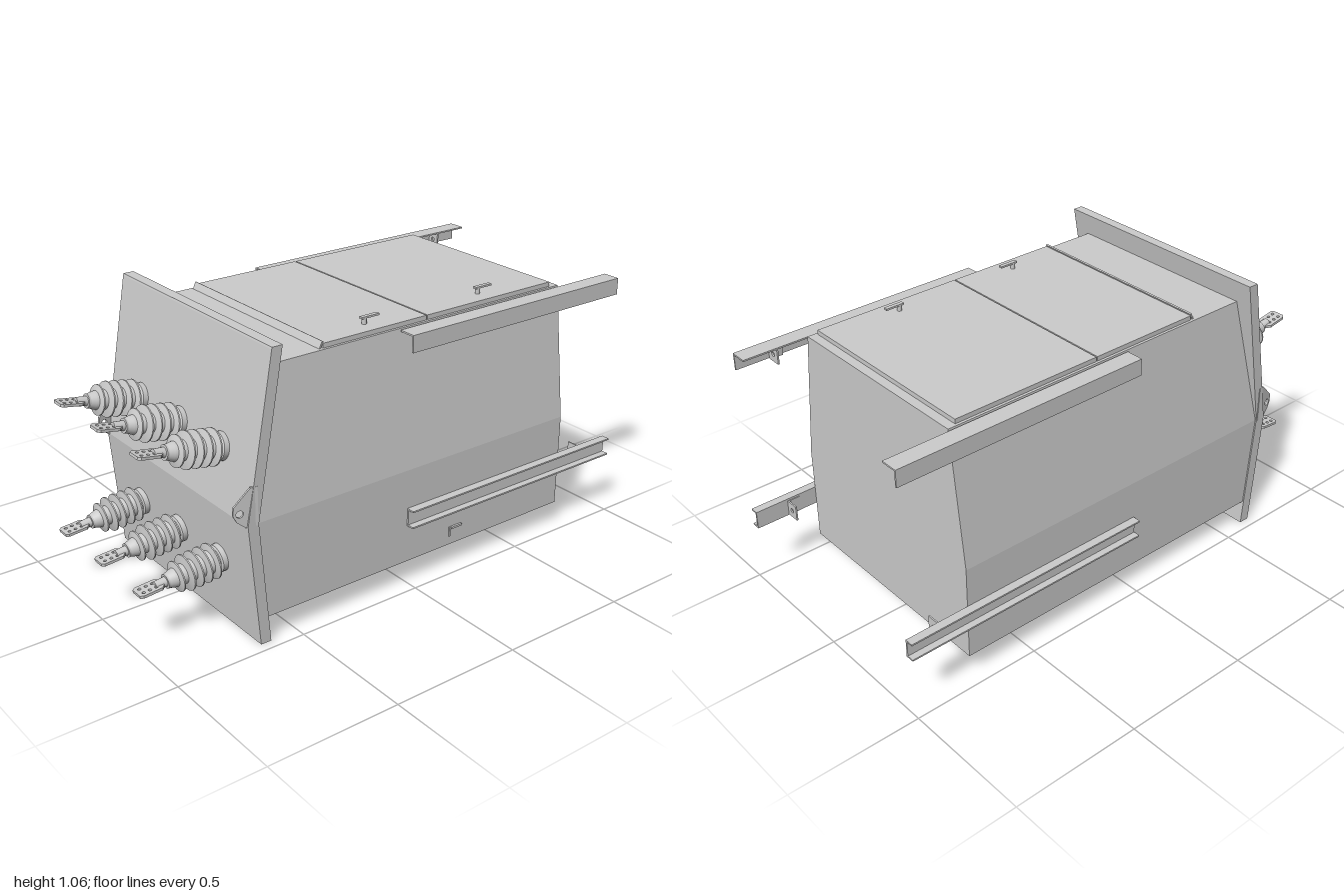
import * as THREE from 'three';

const material = new THREE.MeshStandardMaterial({ color: 0xcccccc, flatShading: true });
const smooth = new THREE.MeshStandardMaterial({ color: 0xcccccc, side: THREE.DoubleSide });

function add(parent, name, geometry, mat = material) {
  const mesh = new THREE.Mesh(geometry, mat);
  mesh.name = name;
  parent.add(mesh);
  return mesh;
}

// Box given by its limits on each axis
function box(parent, name, [x0, x1], [y0, y1], [z0, z1]) {
  const mesh = add(parent, name, new THREE.BoxGeometry(Math.abs(x1 - x0), y1 - y0, z1 - z0));
  mesh.position.set((x0 + x1) / 2, (y0 + y1) / 2, (z0 + z1) / 2);
  return mesh;
}

function shapeOf(points, holes = []) {
  const shape = new THREE.Shape(points.map(([x, y]) => new THREE.Vector2(x, y)));
  for (const [x, y, r] of holes) shape.holes.push(new THREE.Path().absarc(x, y, r, 0, Math.PI * 2, true));
  return shape;
}

const extrude = (shape, depth) =>
  new THREE.ExtrudeGeometry(shape, { depth, bevelEnabled: false, curveSegments: 8 });

// Side profile in (z, y), extruded across x and centred on x = 0
function extrudeX(points, width, holes) {
  return extrude(shapeOf(points, holes), width).rotateY(-Math.PI / 2).translate(width / 2, 0, 0);
}

const CREASE = 0.46;
const plateZ = y => (y > CREASE ? 0.69 - (y - CREASE) * 0.176 : 0.65 + y * 0.087);

// Insulated terminal pointing along local y
function createBushing() {
  const bushing = new THREE.Group();
  bushing.name = 'bushing';
  const core = [[0, 0], [0.05, 0], [0.05, 0.022], [0.042, 0.026]];
  for (let i = 0; i < 5; i++) {
    const y = 0.036 + i * 0.034, r = 0.042 - i * 0.002, rim = i < 4 ? 0.065 : 0.055;
    core.push([r, y], [rim, y + 0.003], [rim, y + 0.008], [r, y + 0.014]);
  }
  core.push([0.032, 0.195], [0.026, 0.215], [0.026, 0.222], [0, 0.222]);
  // Separate conical bands keep the shed rims sharp
  core.slice(1).forEach((b, i) => {
    const a = core[i];
    add(bushing, 'insulatorBand', new THREE.LatheGeometry(
      [new THREE.Vector2(...a), new THREE.Vector2(...b)], 28), smooth);
  });
  const stem = add(bushing, 'terminalStem', new THREE.CylinderGeometry(0.016, 0.018, 0.045, 16), smooth);
  stem.position.y = 0.24;
  const holes = [];
  for (const x of [-0.014, 0.014]) for (const y of [0.264, 0.288, 0.312]) holes.push([x, y, 0.006]);
  const pad = shapeOf([[-0.018, 0.235], [0.018, 0.235], [0.032, 0.25], [0.032, 0.322],
    [0.024, 0.332], [-0.024, 0.332], [-0.032, 0.322], [-0.032, 0.25]], holes);
  add(bushing, 'terminalPad', extrude(pad, 0.01).translate(0, 0, -0.005));
  return bushing;
}

export function createModel() {
  const model = new THREE.Group();
  model.name = 'switchgearTank';

  // Tank: tapered section, with its front end following the bent front plate
  const section = shapeOf([[-0.458, 0.095], [0.458, 0.095], [0.458, CREASE], [0.395, 0.97],
    [-0.395, 0.97], [-0.458, CREASE]]);
  const tank = extrude(section, 1);
  const p = tank.attributes.position;
  for (let i = 0; i < p.count; i++) p.setZ(i, p.getZ(i) > 0.5 ? plateZ(p.getY(i)) - 0.02 : -0.75);
  tank.computeVertexNormals();
  add(model, 'tank', tank);

  // Bent front plate
  add(model, 'frontPlate', extrudeX([[0.65, 0], [0.69, CREASE], [0.585, 1.05], [0.583, 1.057],
    [0.543, 1.057], [0.648, CREASE], [0.609, 0]], 0.926));

  // Two rows of three bushings, square to the plate
  for (const [y, angle] of [[0.665, 80], [0.255, 94.8]]) {
    for (const x of [-0.26, 0, 0.26]) {
      const bushing = createBushing();
      bushing.position.set(x, y, plateZ(y) - 0.003);
      bushing.rotation.x = THREE.MathUtils.degToRad(angle);
      model.add(bushing);
    }
  }

  // Top covers with lip and latch handles
  box(model, 'rearCover', [-0.385, 0.385], [0.965, 0.987], [-0.715, -0.122]);
  box(model, 'frontCover', [-0.385, 0.385], [0.965, 0.987], [-0.117, 0.328]);
  const lip = box(model, 'coverLip', [-0.385, 0.385], [0.968, 0.996], [0.332, 0.338]);
  lip.rotation.x = -0.45;
  for (const z of [0.105, -0.415]) {
    const post = add(model, 'handlePost', new THREE.CylinderGeometry(0.009, 0.009, 0.03, 12), smooth);
    post.position.set(0.32, 0.998, z);
    box(model, 'handleGrip', [0.312, 0.328], [1.007, 1.014], [z - 0.06, z + 0.015]);
  }

  // Bottom cover and its front lip
  box(model, 'bottomCover', [-0.29, 0.29], [0.075, 0.1], [-0.46, 0.22]);
  box(model, 'bottomLip', [-0.39, 0.39], [0.072, 0.1], [0.222, 0.232]);

  for (const s of [1, -1]) {
    const sx = (a, b) => [s * a, s * b];

    // Upper angle rail
    box(model, 'upperRailTop', sx(0.4, 0.467), [0.96, 0.966], [-1, 0.01]);
    box(model, 'upperRailSide', sx(0.461, 0.467), [0.902, 0.966], [-1, 0.01]);
    for (const z of [-0.64, -0.14]) {
      box(model, 'upperRailBracket', sx(0.385, 0.461), [0.915, 0.96], [z - 0.015, z + 0.015]);
    }

    // Lower channel rail, open outwards
    box(model, 'lowerRailWeb', sx(0.457, 0.464), [0.24, 0.31], [-1, 0.01]);
    for (const y of [0.24, 0.304]) {
      box(model, 'lowerRailFlange', sx(0.464, 0.49), [y, y + 0.006], [-1, 0.01]);
    }

    // Drilled angle brackets at the rear of each rail
    for (const y of [0.242, 0.9]) {
      const plate = shapeOf([[-0.028, 0], [0.028, 0], [0.028, 0.06], [-0.028, 0.06]], [[0, 0.03, 0.009]]);
      const bracket = add(model, 'railBracket', extrude(plate, 0.006));
      bracket.position.set(s * 0.431, y, -0.87);
      box(model, 'railBracketLeg', sx(0.453, 0.459), [y, y + 0.06], [-0.87, -0.82]);
    }

    // Lifting lug, bent slightly inwards
    const lug = add(model, 'liftingLug', extrudeX([[0, 0], [0.045, 0], [0.075, 0.025], [0.088, 0.05],
      [0.085, 0.08], [0.025, 0.14], [0, 0.14]], 0.008, [[0.064, 0.053, 0.013]]));
    lug.position.set(s * 0.461, 0.458, 0.65);
    lug.rotation.y = -s * 0.2;
  }

  // Small earthing tab on one side
  box(model, 'earthTab', [0.455, 0.466], [0.16, 0.168], [-0.25, -0.2]);
  box(model, 'earthTabStem', [0.455, 0.462], [0.13, 0.168], [-0.2, -0.192]);

  return model;
}
